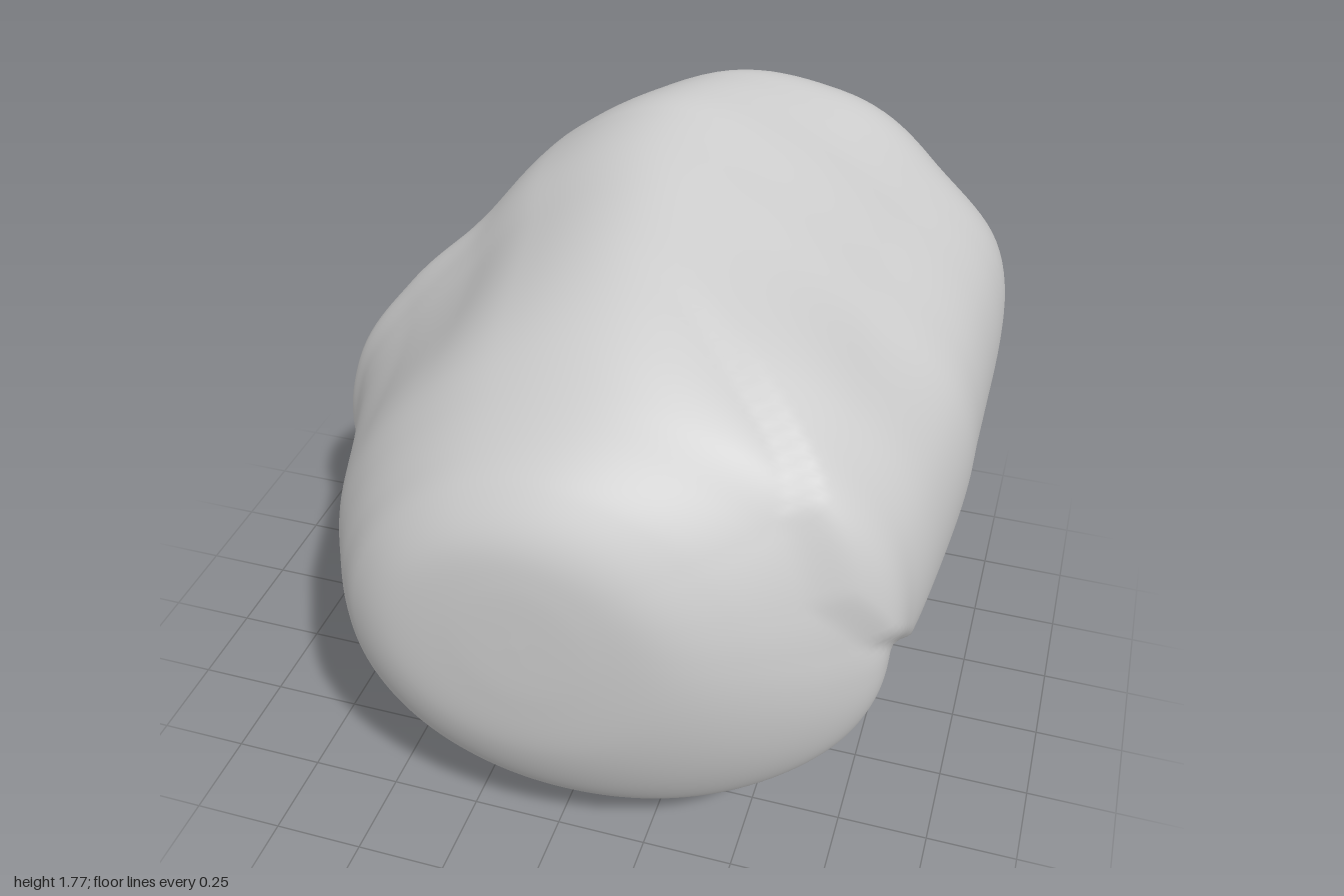
import * as THREE from 'three';

// Full outline: radius about (0, 0.86) every 22.5 degrees from +x
const OUTLINE = [0.95, 0.98, 0.89, 0.88, 0.91, 0.82, 0.74, 0.78, 0.91, 1.02, 1.02, 0.93, 0.83, 0.79, 0.8, 0.87];

// Sections front to back: z, xMin, xMax, yMin, yMax
const SECTIONS = [
  [1.0, -0.01, 0.01, 0.87, 0.89], [0.995, -0.18, 0.2, 0.69, 1.07], [0.97, -0.36, 0.39, 0.5, 1.19],
  [0.9, -0.48, 0.57, 0.33, 1.29], [0.8, -0.56, 0.74, 0.2, 1.37], [0.7, -0.62, 0.86, 0.15, 1.45],
  [0.57, -0.69, 0.89, 0.11, 1.53], [0.4, -0.76, 0.92, 0.07, 1.6], [0.1, -0.87, 0.95, 0.03, 1.69],
  [-0.1, -0.94, 0.95, 0.0, 1.74], [-0.3, -0.91, 0.95, -0.01, 1.77], [-0.5, -0.84, 0.95, 0.05, 1.76],
  [-0.66, -0.78, 0.94, 0.14, 1.72], [-0.81, -0.72, 0.91, 0.24, 1.59], [-0.91, -0.65, 0.84, 0.37, 1.41],
  [-0.98, -0.54, 0.69, 0.52, 1.23], [-1.01, -0.37, 0.51, 0.65, 1.1], [-0.99, -0.16, 0.25, 0.79, 1.0],
  [-0.98, 0.04, 0.06, 0.89, 0.91],
];

// Front edge of the overlapping fold: angle in degrees, z
const FOLD = [[-40, 0.02], [-33, 0.1], [-20, 0.3], [-7, 0.5], [9, 0.7], [24, 0.76], [45, 0.72], [62, 0.55], [92, 0.22]];
// Depth of the rear groove: height, depth
const GROOVE = [[0.15, 0.1], [0.5, 0.34], [0.75, 0.5], [0.95, 0.58], [1.4, 0.43], [1.75, 0.27]];

const smooth = THREE.MathUtils.smoothstep;
const lerp = THREE.MathUtils.lerp;
const bell = (x, width) => Math.exp(-((x / width) ** 2));

function lookup(table, x) {
  if (x <= table[0][0]) return table[0][1];
  for (let i = 1; i < table.length; i++) {
    const [x0, y0] = table[i - 1], [x1, y1] = table[i];
    if (x <= x1) return lerp(y0, y1, (x - x0) / (x1 - x0));
  }
  return table[table.length - 1][1];
}

function catmull(a, b, c, d, t) {
  return b + 0.5 * t * (c - a + t * (2 * a - 5 * b + 4 * c - d + t * (3 * (b - c) + d - a)));
}

function outlineRadius(angle) {
  const f = angle / (Math.PI / 8), i = Math.floor(f);
  const at = (k) => OUTLINE[(k + 16) % 16];
  return catmull(at(i - 1), at(i), at(i + 1), at(i + 2), f - i);
}

function sectionAt(u) {
  const last = SECTIONS.length - 1;
  const f = u * last, i = Math.min(Math.floor(f), last - 1);
  const at = (k) => SECTIONS[Math.max(0, Math.min(last, k))];
  return at(i).map((_, n) => catmull(at(i - 1)[n], at(i)[n], at(i + 1)[n], at(i + 2)[n], f - i));
}

function bodyPoint(u, angle) {
  let [z, x0, x1, y0, y1] = sectionAt(u);
  let deg = THREE.MathUtils.radToDeg(angle);

  // outline fills out at the rear top and turns into an ellipse towards the front
  const r = outlineRadius(angle) + 0.07 * smooth(-z, 0.35, 0.75) * bell(deg - 58, 20);
  const round = 0.85 * smooth(z, 0.05, 0.9);
  let x = lerp(x0, x1, lerp((r * Math.cos(angle) + 0.96) / 1.92, 0.5 + Math.cos(angle) / 2, round));
  let y = lerp(y0, y1, lerp((0.87 + r * Math.sin(angle)) / 1.79, 0.5 + Math.sin(angle) / 2, round));

  // small lip on the side, where the wrapped layer ends
  const side = smooth(deg, 125, 155) * (1 - smooth(deg, 185, 215));
  let scale = 1 + 0.035 * side * bell(z + 0.1, 0.05);

  // the fold swells at the upper side and steps down in front
  scale += 0.06 * bell(deg - 45, 24) * smooth(z, 0.1, 0.5) * (1 - smooth(z, 0.7, 0.95));
  if (deg > 200) deg -= 360;
  const ahead = z - lookup(FOLD, deg);
  const fade = smooth(deg, -42, -15) * (1 - smooth(deg, 55, 95));
  scale -= 0.05 * fade * smooth(ahead, -0.01, 0.05) * Math.exp(-Math.max(0, ahead) / 0.2);
  const cx = (x0 + x1) / 2, cy = (y0 + y1) / 2;
  x = cx + (x - cx) * scale;
  y = cy + (y - cy) * scale;

  // groove and pit between the two rear lobes
  const start = -0.2;
  if (z < start) {
    const centre = Math.max(0, 1.05 - y) * 0.55 - 0.03 - 0.07 * smooth(y, 1.0, 1.4);
    const width = 0.26 + 0.05 * bell(y - 0.75, 0.3);
    const depth = lookup(GROOVE, y) * bell(x - centre, width);
    z = start + (z - start) * (1 - depth / 0.8);
  }
  return [x, y, z];
}

function bodyGeometry(rings, sides) {
  const positions = [], index = [];
  for (let i = 0; i <= rings; i++) {
    for (let j = 0; j < sides; j++) {
      positions.push(...bodyPoint(i / rings, (j / sides) * Math.PI * 2));
      if (i === rings) continue;
      const a = i * sides + j, b = i * sides + ((j + 1) % sides);
      index.push(a, a + sides, b, b, a + sides, b + sides);
    }
  }
  // close both ends
  for (let j = 1; j < sides - 1; j++) {
    const e = rings * sides;
    index.push(0, j, j + 1, e, e + j + 1, e + j);
  }
  const geometry = new THREE.BufferGeometry();
  geometry.setAttribute('position', new THREE.Float32BufferAttribute(positions, 3));
  geometry.setIndex(index);
  geometry.computeVertexNormals();
  return geometry;
}

export function createModel() {
  const group = new THREE.Group();
  group.name = 'foldedBlob';
  const body = new THREE.Mesh(bodyGeometry(180, 160), new THREE.MeshStandardMaterial({ color: 0xcccccc }));
  body.name = 'body';
  group.add(body);
  return group;
}
